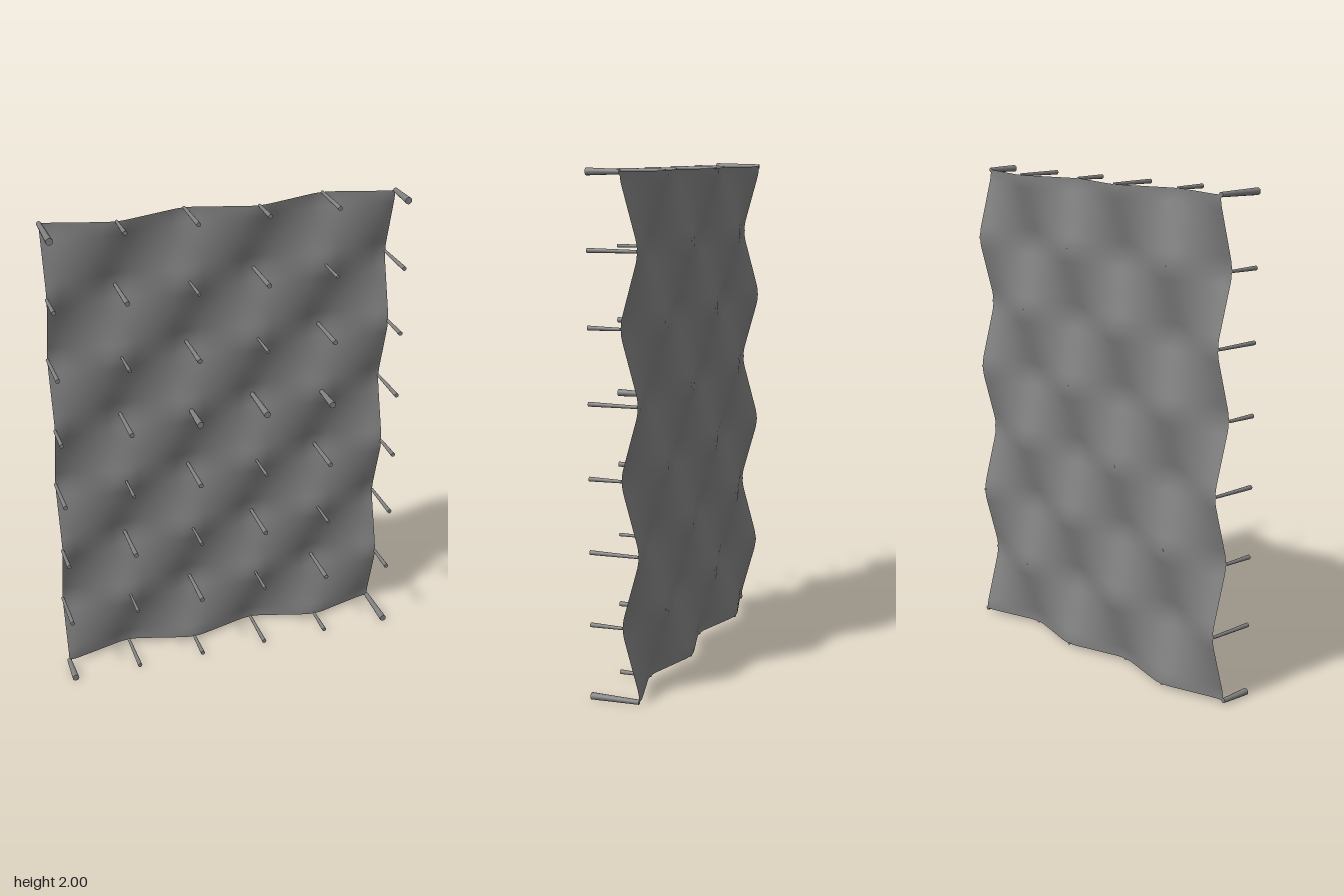
import * as THREE from 'three';

const COLS = 6, ROWS = 8, STEP = 0.2815;
const Z_MID = -0.0655, AMP = 0.0325, Z_TIP = 0.097;
const ROUND = 0.18; // half width of the rounded fold, in steps

const nodeX = (i) => (i - (COLS - 1) / 2) * STEP;
const nodeY = (j) => 1 + (j - (ROWS - 1) / 2) * STEP;

// Triangle wave, +1 at even and -1 at odd numbers, with rounded peaks; returns value and slope
function wave(t) {
  const n = Math.round(t), d = t - n, a = Math.abs(d);
  const sign = n % 2 === 0 ? 1 : -1, scale = sign / (0.5 - ROUND / 2);
  return a > ROUND
    ? [scale * (0.5 - a), -scale * Math.sign(d)]
    : [scale * (0.5 - ROUND / 2 - (d * d) / (2 * ROUND)), -scale * d / ROUND];
}

// Height of the sheet at a node: front and back levels alternate like a checkerboard
const nodeZ = (i, j) => Z_MID + AMP * wave(i)[0] * wave(j)[0];

// One saddle-shaped panel between four nodes, with normals that run on into its neighbours
function saddlePanel(i, j) {
  const geo = new THREE.PlaneGeometry(STEP, STEP, 20, 20);
  const { position, normal } = geo.attributes;
  const n = new THREE.Vector3();
  for (let k = 0; k < position.count; k++) {
    const [a, da] = wave(i + 0.5 + position.getX(k) / STEP);
    const [b, db] = wave(j + 0.5 + position.getY(k) / STEP);
    position.setZ(k, Z_MID + AMP * a * b);
    n.set(-AMP * da * b / STEP, -AMP * a * db / STEP, 1).normalize();
    normal.setXYZ(k, n.x, n.y, n.z);
  }
  geo.translate(nodeX(i) + STEP / 2, nodeY(j) + STEP / 2, 0);
  return geo;
}

// Rod thickness: heavy at the corners and three central nodes, otherwise by length
function rodRadius(i, j) {
  const sideCol = i === 0 || i === COLS - 1, endRow = j === 0 || j === ROWS - 1;
  if (sideCol && endRow) return 0.014;
  if (j === 4 && i >= 2 && i <= 4) return 0.014;
  if (sideCol || endRow) return 0.009;
  return (i + j) % 2 === 0 ? 0.007 : 0.01;
}

// Tapered rod from the sheet node to the common front plane
function rod(i, j) {
  const r = rodRadius(i, j), z = nodeZ(i, j), length = Z_TIP - z;
  const geo = new THREE.CylinderGeometry(r, r * 0.68, length, 12);
  geo.rotateX(Math.PI / 2);
  geo.translate(nodeX(i), nodeY(j), z + length / 2);
  return geo;
}

export function createModel() {
  const model = new THREE.Group();
  model.name = 'saddlePanelWall';
  const sheet = new THREE.Group();
  sheet.name = 'sheet';
  const rods = new THREE.Group();
  rods.name = 'supportRods';
  model.add(sheet, rods);

  const rodMaterial = new THREE.MeshStandardMaterial({ color: 0x808080 });
  const sheetMaterial = new THREE.MeshStandardMaterial({ color: 0x808080, side: THREE.DoubleSide });
  const add = (group, name, geometry, material) => {
    const mesh = new THREE.Mesh(geometry, material);
    mesh.name = name;
    group.add(mesh);
  };

  for (let j = 0; j < ROWS; j++) {
    for (let i = 0; i < COLS; i++) {
      if (i < COLS - 1 && j < ROWS - 1) add(sheet, 'panel', saddlePanel(i, j), sheetMaterial);
      add(rods, 'supportRod', rod(i, j), rodMaterial);
    }
  }
  return model;
}
